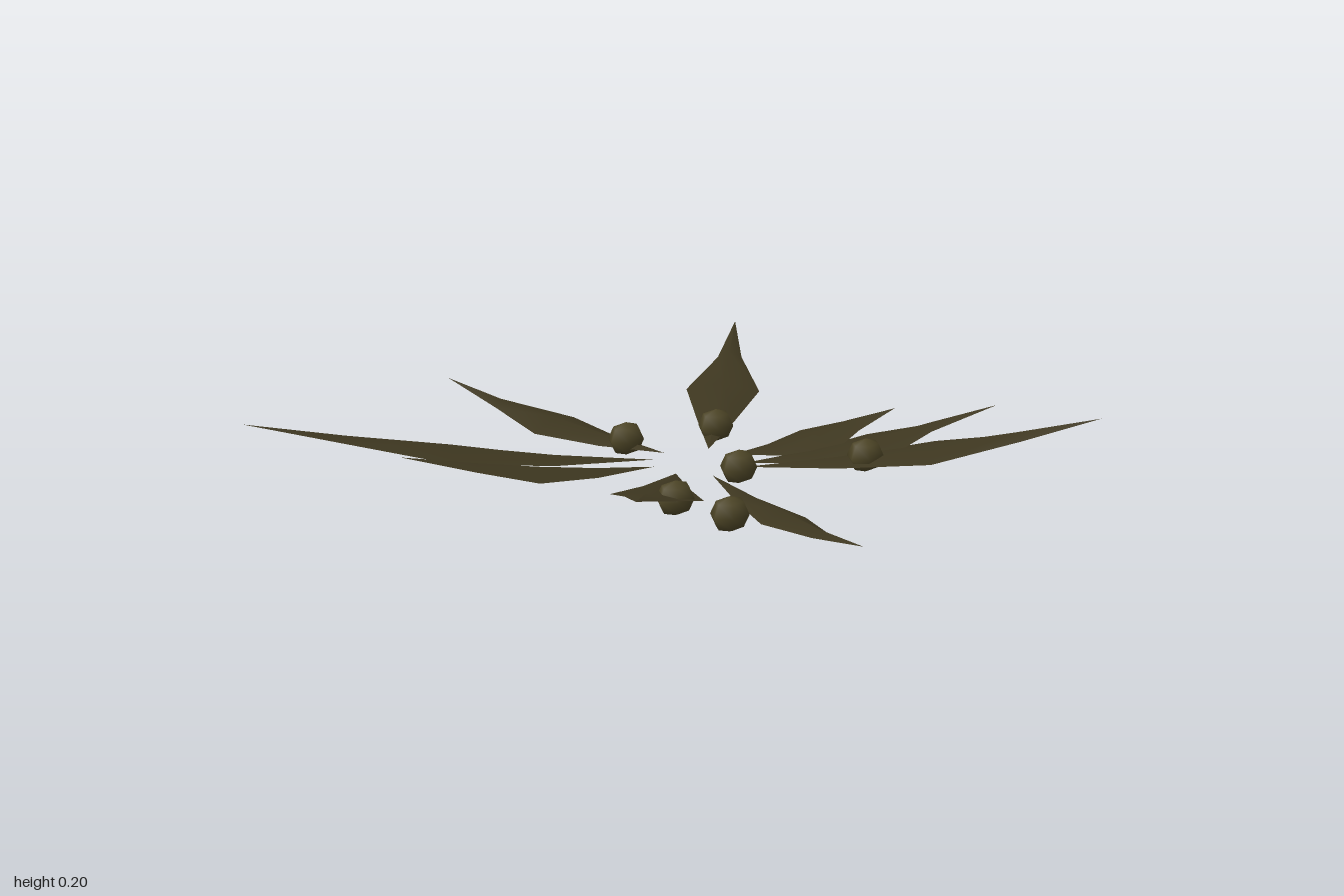
import * as THREE from 'three';

const leafMaterial = new THREE.MeshStandardMaterial({ color: 0x3e3720, side: THREE.DoubleSide });
const podMaterial = new THREE.MeshStandardMaterial({ color: 0x4d4526 });

// Each leaf: root, widest pair, narrow pair and tip as [x, z]; tip height and curl exponent
const leaves = [
  { root: [0.09, -0.10], mid: [[0.48, -0.545], [0.61, -0.365]], neck: [[0.75, -0.66], [0.80, -0.605]], tip: [1, -0.81], y: 0.10, curl: 2.5 },
  { root: [-0.085, -0.145], mid: [[-0.60, -0.38], [-0.49, -0.535]], neck: [[-0.79, -0.60], [-0.76, -0.635]], tip: [-1, -0.77], y: 0.205, curl: 1.5 },
  { root: [-0.13, -0.10], mid: [[-0.485, -0.18], [-0.40, -0.29]], neck: [[-0.61, -0.29], [-0.57, -0.335]], tip: [-0.765, -0.41], y: 0.135, curl: 2 },
  { root: [-0.02, -0.165], mid: [[-0.18, -0.52], [0.01, -0.555]], neck: [[-0.155, -0.71], [-0.09, -0.73]], tip: [-0.155, -0.91], y: 0.13, curl: 2 },
  { root: [-0.135, -0.015], mid: [[-0.285, 0.225], [-0.41, 0.005]], neck: [[-0.41, 0.22], [-0.46, 0.107]], tip: [-0.56, 0.245], y: 0.11, curl: 2 },
  { root: [-0.08, 0.07], mid: [[-0.22, 0.515], [-0.335, 0.465]], neck: [[-0.36, 0.715], [-0.405, 0.69]], tip: [-0.48, 0.91], y: 0.13, curl: 2 },
  { root: [0.10, -0.015], mid: [[0.365, 0.005], [0.26, 0.21]], neck: [[0.44, 0.10], [0.40, 0.19]], tip: [0.53, 0.215], y: 0.11, curl: 2 },
  { root: [0.06, 0.06], mid: [[0.45, 0.18], [0.32, 0.36]], neck: [[0.565, 0.325], [0.50, 0.37]], tip: [0.695, 0.45], y: 0.13, curl: 2 },
  { root: [0.035, 0.085], mid: [[0.53, 0.36], [0.345, 0.485]], neck: [[0.63, 0.545], [0.60, 0.605]], tip: [0.795, 0.735], y: 0.125, curl: 2 },
];

// Rise of the midrib and drop of the edges along the leaf, giving an arched section
const arch = [0, 0.012, 0.018, 0.012, 0];

// Pod centres as [x, z]
const pods = [[-0.045, -0.29], [0.22, -0.19], [-0.335, 0.17], [-0.335, 0.36], [-0.025, 0.115], [0.285, 0.305]];

const halfway = (a, b) => [(a[0] + b[0]) / 2, (a[1] + b[1]) / 2];

// Loft edge, midrib and edge from root to tip, curling upwards
function leafGeometry({ root, mid, neck, tip, y, curl }) {
  const base = 0.025;
  const rows = [[root, root], mid.map((p) => halfway(root, p)), mid, neck, [tip, tip]];
  const positions = [];
  const index = [];
  rows.forEach(([a, b], r) => {
    const height = base + (y - base) * (r / 4) ** curl;
    const edge = height - arch[r] * 0.4;
    const [mx, mz] = halfway(a, b);
    positions.push(a[0], edge, a[1], mx, height + arch[r], mz, b[0], edge, b[1]);
    if (r === 0) return;
    for (let c = 0; c < 2; c++) {
      const i = (r - 1) * 3 + c;
      // Root and tip rows close to a point
      if (r > 1) index.push(i, i + 1, i + 3);
      if (r < 4) index.push(i + 1, i + 4, i + 3);
    }
  });
  const geometry = new THREE.BufferGeometry();
  geometry.setAttribute('position', new THREE.Float32BufferAttribute(positions, 3));
  geometry.setIndex(index);
  geometry.computeVertexNormals();
  return geometry;
}

export function createModel() {
  const model = new THREE.Group();
  model.name = 'leafRosette';

  // Ring of pointed leaves
  leaves.forEach((leaf, i) => {
    const mesh = new THREE.Mesh(leafGeometry(leaf), leafMaterial);
    mesh.name = `leaf${i + 1}`;
    model.add(mesh);
  });

  // Small flattened six-sided pods
  const podGeometry = new THREE.SphereGeometry(1, 6, 4).scale(0.06, 0.0475, 0.047);
  pods.forEach(([x, z], i) => {
    const mesh = new THREE.Mesh(podGeometry, podMaterial);
    mesh.name = `pod${i + 1}`;
    mesh.position.set(x, 0.0475, z);
    model.add(mesh);
  });
  return model;
}
